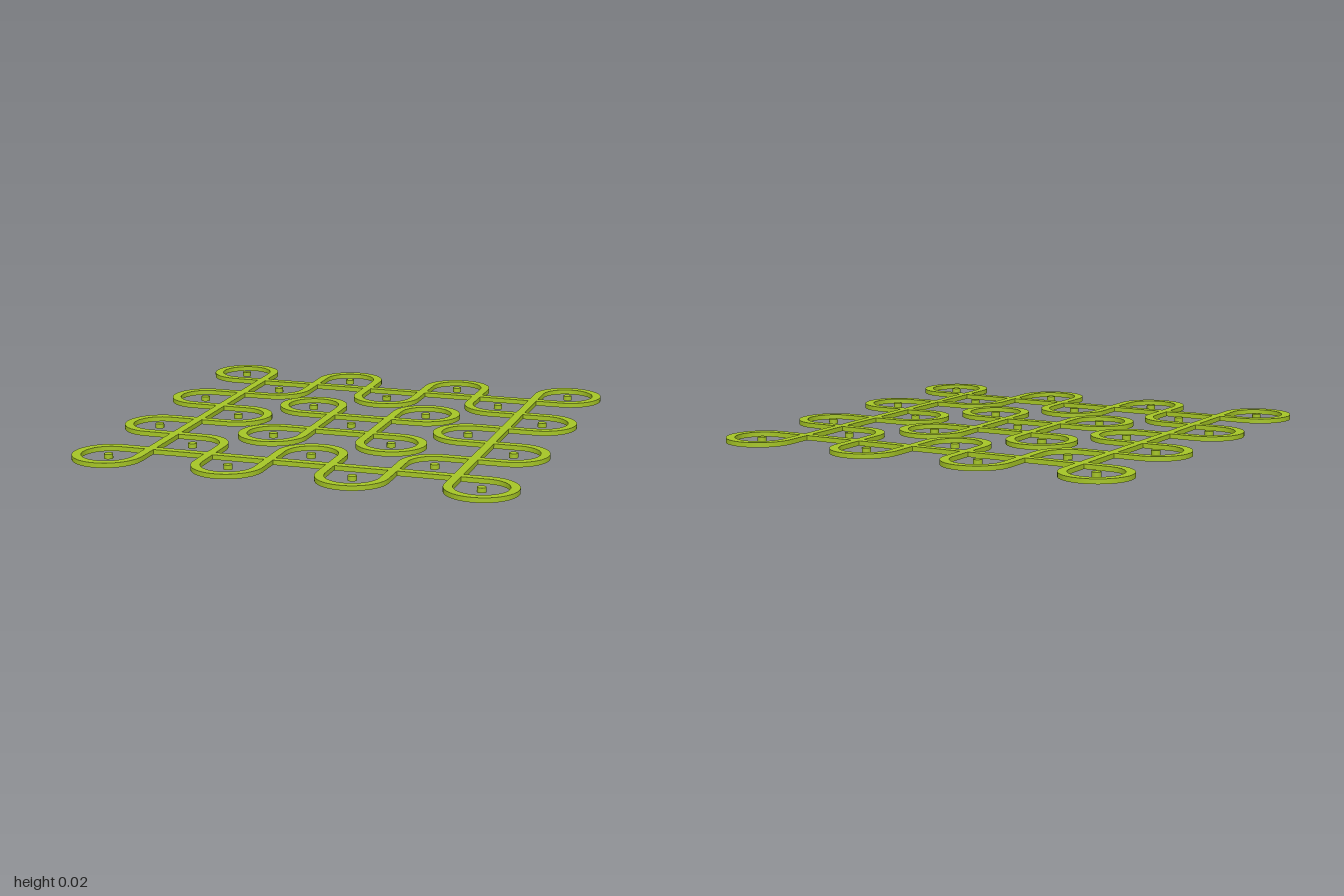
import * as THREE from 'three';
import { toCreasedNormals } from 'three/addons/utils/BufferGeometryUtils.js';

const S = 0.2937;                    // dot spacing
const R = S / (2 * Math.SQRT2);      // loop radius, tangent to the diagonals
const W = 0.03, H = 0.016;           // strand width and height
const ARC = 8;                       // steps per eighth turn
const AXES = [[1, 0], [0, 1], [-1, 0], [0, -1]];
const mod4 = (k) => ((k % 4) + 4) % 4;

// The strand crosses over to the next dot on the inner and outer rings only
function crosses([x, z], k) {
  const m = Math.abs(x + AXES[k][0] / 2) + Math.abs(z + AXES[k][1] / 2);
  return m === 0.5 || m === 2.5;
}

// Follow one closed strand around the dots, marking the quadrants it uses
function traceStrand(dot, axis, used) {
  const points = [];
  let turn = 1;
  const arc = ([x, z], from) => {
    for (let i = 0; i < ARC; i++) {
      const a = from + turn * (i / ARC) * Math.PI / 4;
      points.push(new THREE.Vector2(x * S + R * Math.cos(a), z * S + R * Math.sin(a)));
    }
  };
  for (;;) {
    const key = `${dot}:${turn > 0 ? axis : mod4(axis - 1)}`;
    if (used.has(key)) return points;
    used.add(key);
    const next = mod4(axis + turn);
    const start = axis * Math.PI / 2, diagonal = start + turn * Math.PI / 4;
    // crossing point or arc, up to the diagonal
    if (crosses(dot, axis)) {
      points.push(new THREE.Vector2((dot[0] + AXES[axis][0] / 2) * S, (dot[1] + AXES[axis][1] / 2) * S));
    } else arc(dot, start);
    // straight on to the neighbour, or arc on around this dot
    if (crosses(dot, next)) {
      points.push(new THREE.Vector2(dot[0] * S + R * Math.cos(diagonal), dot[1] * S + R * Math.sin(diagonal)));
      dot = [dot[0] + AXES[next][0], dot[1] + AXES[next][1]];
      axis = mod4(next + 2);
      turn = -turn;
    } else {
      arc(dot, diagonal);
      axis = next;
    }
  }
}

// Sweep a flat rectangular section along a closed path on the ground
function strandGeometry(points) {
  const n = points.length, position = [], index = [];
  const section = [[-W / 2, 0], [W / 2, 0], [W / 2, H], [-W / 2, H]];
  points.forEach((p, i) => {
    const t = points[(i + 1) % n].clone().sub(p).normalize()
      .add(p.clone().sub(points[(i + n - 1) % n]).normalize()).normalize();
    for (const [side, y] of section) position.push(p.x - t.y * side, y, p.y + t.x * side);
    for (let j = 0; j < 4; j++) {
      const k = (j + 1) % 4, q = ((i + 1) % n) * 4;
      const a = i * 4 + j, b = i * 4 + k, c = q + k, d = q + j;
      index.push(a, d, c, a, c, b);
    }
  });
  const geometry = new THREE.BufferGeometry();
  geometry.setAttribute('position', new THREE.Float32BufferAttribute(position, 3));
  geometry.setIndex(index);
  return toCreasedNormals(geometry, 0.6);
}

export function createModel() {
  const group = new THREE.Group();
  group.name = 'loopedKnotPattern';
  const material = new THREE.MeshStandardMaterial({ color: 0xa6c626 });

  // diamond of dots
  const dots = [];
  for (let z = -3; z <= 3; z++)
    for (let x = -3; x <= 3; x++)
      if (Math.abs(x) + Math.abs(z) <= 3 && !(Math.abs(x) === 3 && z !== 0)) dots.push([x, z]);

  const dotGeometry = new THREE.CylinderGeometry(0.015, 0.015, H, 20);
  for (const [x, z] of dots) {
    const dot = new THREE.Mesh(dotGeometry, material);
    dot.name = 'dot';
    dot.position.set(x * S, H / 2, z * S);
    group.add(dot);
  }

  // closed strands woven around the dots
  const used = new Set();
  for (const dot of dots)
    for (let k = 0; k < 4; k++) {
      if (used.has(`${dot}:${k}`)) continue;
      const strand = new THREE.Mesh(strandGeometry(traceStrand(dot, k, used)), material);
      strand.name = 'loopStrand';
      group.add(strand);
    }
  return group;
}
